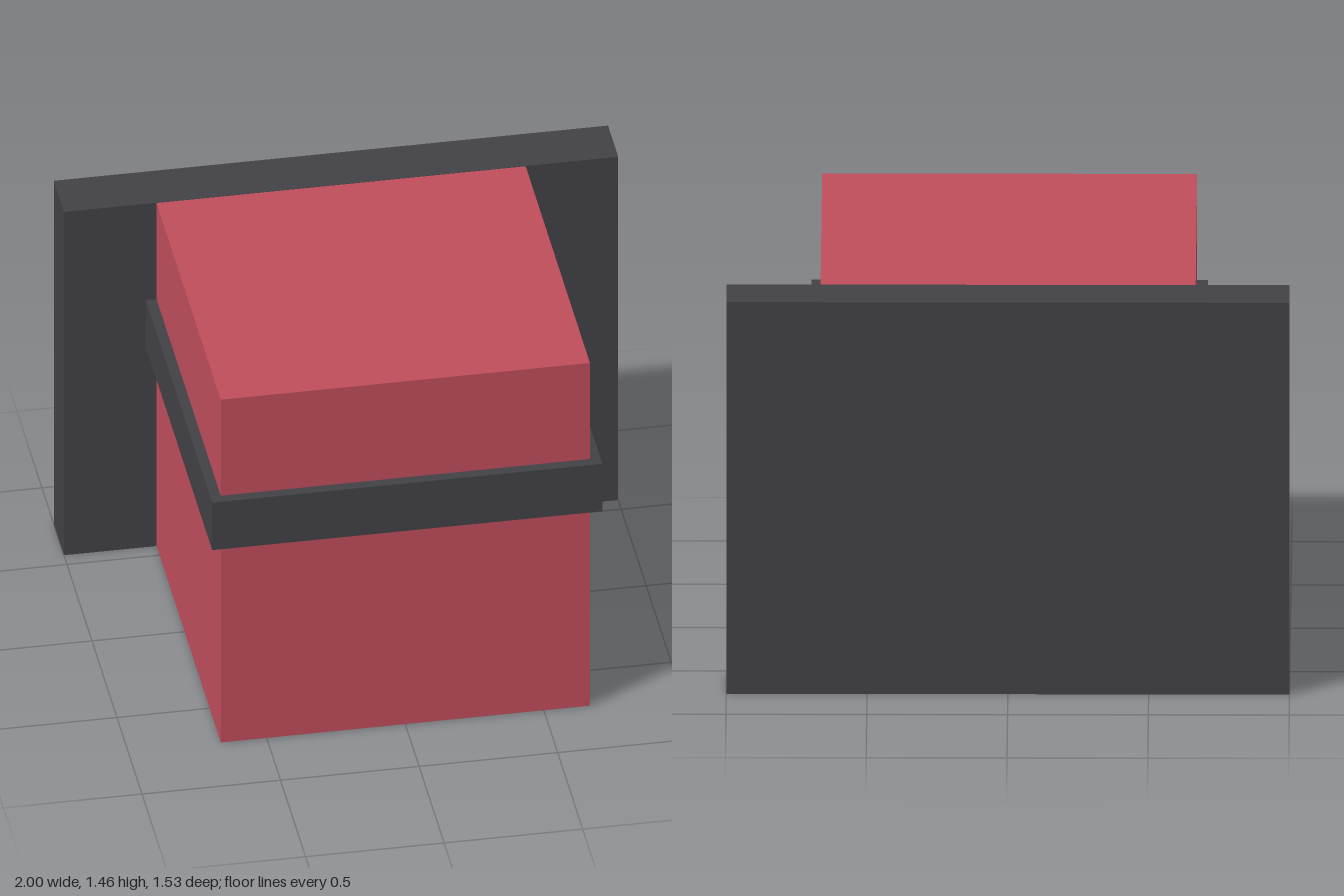
import * as THREE from 'three';

export function createModel() {
  const model = new THREE.Group();
  const red = new THREE.MeshStandardMaterial({ name: 'red', color: 0xc04e5c });
  const charcoal = new THREE.MeshStandardMaterial({ name: 'charcoal', color: 0x424146 });

  // Box given by its half width and its y and z limits, centred on x = 0
  function addBox(name, material, halfWidth, y0, y1, z0, z1) {
    const mesh = new THREE.Mesh(new THREE.BoxGeometry(halfWidth * 2, y1 - y0, z1 - z0), material);
    mesh.name = name;
    mesh.position.set(0, (y0 + y1) / 2, (z0 + z1) / 2);
    model.add(mesh);
  }

  // Wide back plate
  addBox('backPlate', charcoal, 1, 0, 1.462, -0.764, -0.56);
  // Main block, set into the plate and a hair shorter so their faces do not clash
  addBox('body', red, 0.666, 0.001, 1.461, -0.61, 0.725);
  // Band wrapped around the front and sides of the block
  addBox('band', charcoal, 0.704, 0.85, 1.052, -0.62, 0.764);

  return model;
}
